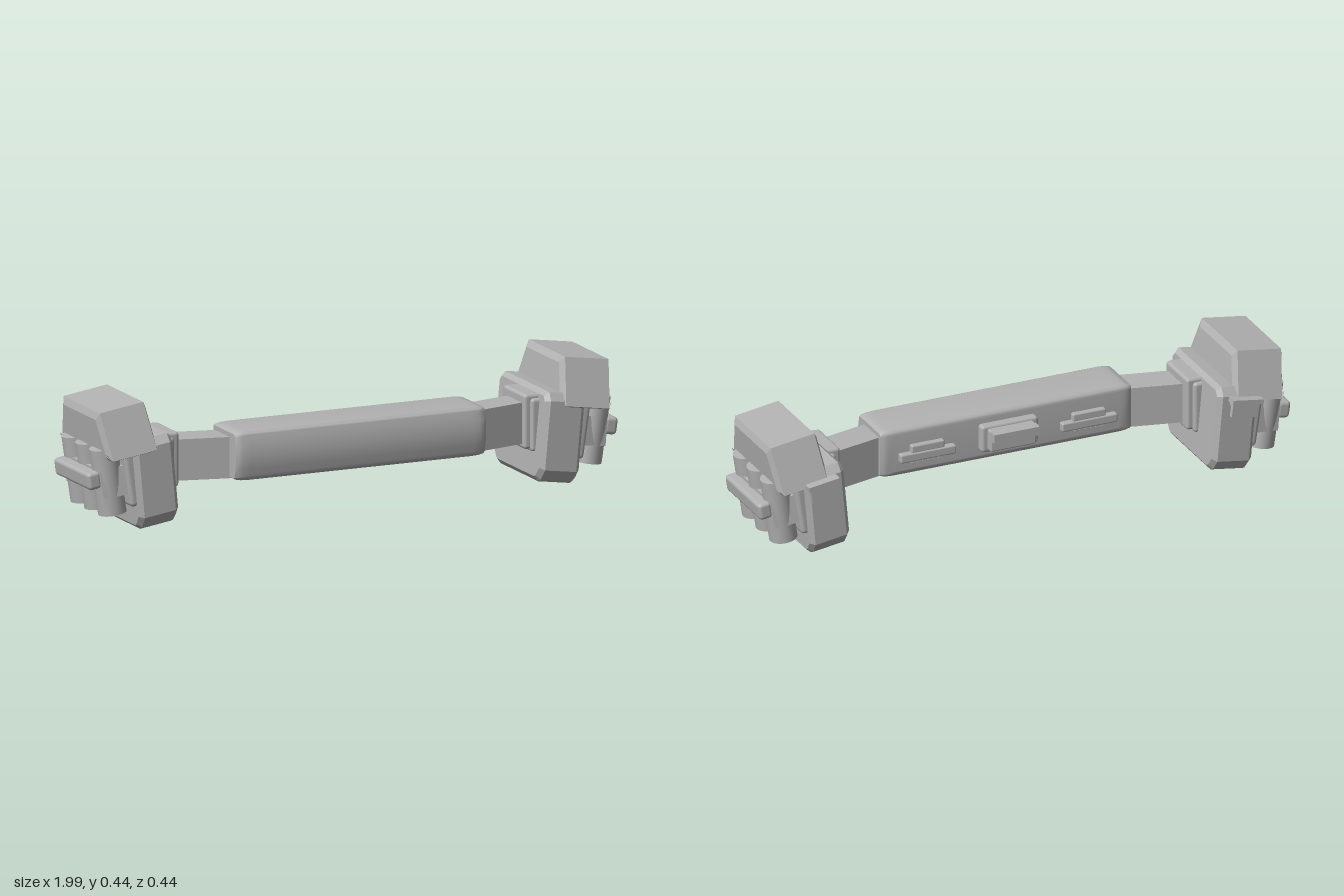
import * as THREE from 'three';
import { toCreasedNormals } from 'three/addons/utils/BufferGeometryUtils.js';
import { RoundedBoxGeometry } from 'three/addons/geometries/RoundedBoxGeometry.js';

const grey = new THREE.MeshStandardMaterial({ color: 0xb2b2b2 });
grey.name = 'grey';

function add(parent, name, geo) {
  const mesh = new THREE.Mesh(geo, grey);
  mesh.name = name;
  parent.add(mesh);
  return mesh;
}

// Box given by its limits, with softly rounded edges when r > 0
function block(parent, name, [x0, x1], [y0, y1], [z0, z1], r = 0) {
  const w = x1 - x0, h = y1 - y0, d = z1 - z0;
  const geo = r ? new RoundedBoxGeometry(w, h, d, 2, r) : new THREE.BoxGeometry(w, h, d);
  geo.translate((x0 + x1) / 2, (y0 + y1) / 2, (z0 + z1) / 2);
  return add(parent, name, geo);
}

// Profile in (-z, y) extruded along x from x0 to x1, bevelled inside its outline
function prism(shape, x0, x1, thickness, inset, segments = 1) {
  const geo = new THREE.ExtrudeGeometry(shape, {
    depth: x1 - x0 - 2 * thickness, curveSegments: 6, bevelEnabled: true,
    bevelThickness: thickness, bevelSize: inset, bevelOffset: -inset, bevelSegments: segments,
  });
  return geo.translate(0, 0, x0 + thickness).rotateY(Math.PI / 2);
}

// Outline symmetric in z, from [half width, height] pairs going upward
function symmetricShape(pairs) {
  const right = pairs.map(([w, y]) => new THREE.Vector2(w, y));
  const left = pairs.map(([w, y]) => new THREE.Vector2(-w, y)).reverse();
  return new THREE.Shape([...right, ...left]);
}

// Padded middle of the belt with a slightly bulging front
function addPad(parent) {
  const b = -0.02, f = -0.21, y0 = 0.146, y1 = 0.32, r = 0.02;
  const s = new THREE.Shape();
  s.moveTo(f + r, y0);
  s.lineTo(b - r, y0);
  s.quadraticCurveTo(b, y0, b, y0 + r);
  s.lineTo(b, y1 - r);
  s.quadraticCurveTo(b, y1, b - r, y1);
  s.lineTo(f + r, y1);
  s.quadraticCurveTo(f, y1, f - 0.002, y1 - r);
  s.quadraticCurveTo(f - 0.02, (y0 + y1) / 2, f - 0.002, y0 + r);
  s.quadraticCurveTo(f, y0, f + r, y0);
  add(parent, 'beltPad', toCreasedNormals(prism(s, -0.47, 0.47, 0.05, 0.01, 3), 0.6));
}

// Buckle on the back of the pad
function addCentreBuckle(parent) {
  const g = new THREE.Group();
  g.name = 'centreBuckle';
  block(g, 'buckleBase', [-0.107, 0.107], [0.183, 0.283], [-0.008, 0.03], 0.012);
  block(g, 'buckleBody', [-0.085, 0.085], [0.195, 0.272], [-0.035, 0], 0.006);
  block(g, 'buckleLip', [-0.085, 0.085], [0.24, 0.272], [-0.064, -0.03]);
  parent.add(g);
}

// Slanted strap joining the pad to a pouch
function addStrap(parent) {
  const geo = new THREE.BoxGeometry(0.26, 0.144, 0.118);
  const p = geo.attributes.position;
  for (let i = 0; i < p.count; i++) p.setZ(i, p.getZ(i) - p.getX(i) * 0.235);
  geo.translate(0.57, 0.222, 0.078);
  geo.computeVertexNormals();
  add(parent, 'strap', geo);
}

// Flat clip on the back of the pad
function addClip(parent) {
  block(parent, 'clipPlate', [0.198, 0.406], [0.2, 0.232], [-0.002, 0.03], 0.006);
  block(parent, 'clipTab', [0.24, 0.364], [0.228, 0.258], [0.002, 0.03], 0.006);
  for (let i = 0; i < 6; i++) {
    const x = 0.25 + i * 0.02;
    block(parent, 'clipRidge', [x, x + 0.009], [0.19, 0.2], [0.01, 0.03]);
  }
}

// Pouch with lid, canisters and buckle, in its own leaning frame
function addPouch(parent) {
  const g = new THREE.Group();
  g.name = 'pouch';
  g.position.set(0.78, 0.2, 0.011);
  g.rotation.z = -0.148;
  parent.add(g);

  // Body, sheared a little so that its walls stand steeper than the lid
  const body = prism(symmetricShape([
    [0.15, -0.187], [0.168, -0.178], [0.196, -0.14], [0.196, 0.1], [0.175, 0.128],
  ]), -0.088, 0.062, 0.016, 0.016);
  body.applyMatrix4(new THREE.Matrix4().set(1, -0.055, 0, -0.002, 0, 1, 0, 0, 0, 0, 1, 0, 0, 0, 0, 1));
  body.computeVertexNormals();
  add(g, 'pouchBody', body);

  add(g, 'pouchLid', prism(symmetricShape([
    [0.196, 0.083], [0.205, 0.087], [0.145, 0.247],
  ]), -0.036, 0.153, 0.012, 0.024));

  // Canisters held on a backing panel by a band and an outer bar
  block(g, 'backingPanel', [0.04, 0.086], [-0.1, 0.095], [-0.176, 0.176], 0.015);
  for (const z of [-0.11, 0, 0.11]) {
    const can = new THREE.CylinderGeometry(0.049, 0.049, 0.234, 28);
    add(g, 'canister', can).position.set(0.131, 0, z);
  }
  const band = new THREE.BoxGeometry(0.09, 0.1, 0.33);
  const p = band.attributes.position;
  for (let i = 0; i < p.count; i++) {
    const narrow = (p.getX(i) > 0 ? 0.93 : 1) * (p.getY(i) > 0 ? 0.92 : 1);
    p.setZ(i, p.getZ(i) * narrow);
  }
  band.computeVertexNormals();
  add(g, 'canisterBand', band).position.set(0.125, -0.002, 0);
  block(g, 'canisterBar', [0.165, 0.215], [-0.016, 0.046], [-0.14, 0.14], 0.014);

  // Rear buckle
  block(g, 'rearBuckleBase', [-0.045, 0.045], [0.028, 0.095], [-0.212, -0.18]);
  block(g, 'rearBuckleStep', [-0.05, 0.05], [0.07, 0.095], [-0.221, -0.18]);
  block(g, 'rearBuckleLip', [-0.058, 0.058], [0.083, 0.1], [-0.233, -0.18]);
}

// Everything that exists once on each side
function createSide(name) {
  const g = new THREE.Group();
  g.name = name;
  addStrap(g);
  addClip(g);
  block(g, 'strapMount', [0.648, 0.73], [0.133, 0.325], [-0.036, 0.138], 0.012);
  block(g, 'strapMountFlange', [0.67, 0.74], [0.125, 0.31], [-0.05, 0.15], 0.012);
  addPouch(g);
  return g;
}

export function createModel() {
  const model = new THREE.Group();
  model.name = 'pouchBelt';
  addPad(model);
  addCentreBuckle(model);
  const left = createSide('leftSide');
  const right = createSide('rightSide');
  right.scale.x = -1;
  model.add(left, right);
  return model;
}
